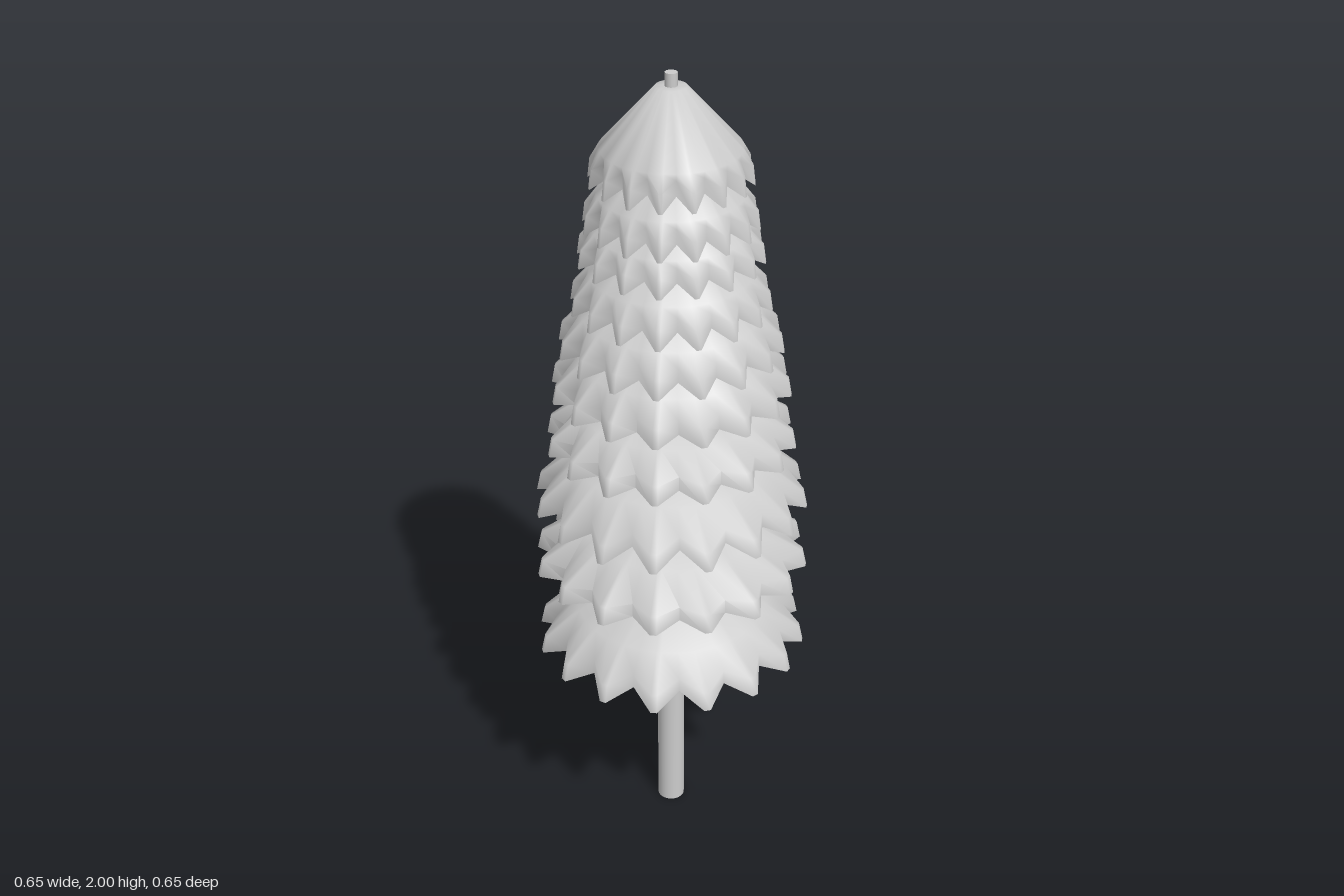
import * as THREE from 'three';
import { toCreasedNormals } from 'three/addons/utils/BufferGeometryUtils.js';

const SPIKES = 16;
const STEP = (Math.PI * 2) / SPIKES;
const BLUNT = 0.024; // half angle of a spike's blunt end

// Three columns per spike: the notch, then the two corners of the blunt tip
const columns = [];
for (let i = 0; i < SPIKES; i++) {
  columns.push({ a: i * STEP, notch: true });
  columns.push({ a: (i + 0.5) * STEP - BLUNT, notch: false });
  columns.push({ a: (i + 0.5) * STEP + BLUNT, notch: false });
}

// One layer of branches: a cone that flares into a zigzag skirt, with a flat lip
// underneath and a hollow inner cone. The notches sit "drop" above the tips.
function tierGeometry({ tipY, drop, radius, shoulderY, shoulderR, apexY, apexR }) {
  // each ring: tip radius and height, notch radius and height
  const ring = (r, y, nr = r, ny = y) => ({ r, y, nr, ny });
  const rings = [
    ring(0.014, apexY),
    ring(apexR, apexY),
    ring(shoulderR, shoulderY),
    ring(radius * 0.97, tipY + 0.045, radius * 0.85, tipY + drop + 0.035),
    ring(radius, tipY, radius * 0.855, tipY + drop),
    ring(radius * 0.76, tipY + drop + 0.008),
    ring(0.014, apexY - 0.02),
  ];
  const n = columns.length;
  const positions = [];
  const index = [];
  rings.forEach((k, j) => {
    columns.forEach(({ a, notch }, i) => {
      const r = notch ? k.nr : k.r;
      positions.push(Math.sin(a) * r, notch ? k.ny : k.y, Math.cos(a) * r);
      if (j === rings.length - 1) return;
      const p = j * n + i;
      const q = j * n + ((i + 1) % n);
      index.push(p, p + n, q + n, p, q + n, q);
    });
  });
  const g = new THREE.BufferGeometry();
  g.setAttribute('position', new THREE.Float32BufferAttribute(positions, 3));
  g.setIndex(index);
  return toCreasedNormals(g, 1.25);
}

export function createModel() {
  const group = new THREE.Group();
  const material = new THREE.MeshStandardMaterial({ color: 0xcccccc });

  const add = (name, geometry, y = 0) => {
    const mesh = new THREE.Mesh(geometry, material);
    mesh.name = name;
    mesh.position.y = y;
    group.add(mesh);
  };

  // Trunk and the small nub on top
  add('trunk', new THREE.CylinderGeometry(0.034, 0.034, 1.94, 24), 0.97);
  add('topNub', new THREE.CylinderGeometry(0.014, 0.014, 0.06, 16), 1.97);

  // Branch layers from bottom to top: tipY, drop, radius, shoulderY, shoulderR, apexY
  const tiers = [
    [0.537, 0.03, 0.331, 0.645, 0.235, 0.775],
    [0.767, 0.01, 0.331, 0.87, 0.215, 0.96],
    [0.937, 0.035, 0.327, 1.055, 0.225, 1.12],
    [1.1, 0.015, 0.295, 1.195, 0.21, 1.265],
    [1.238, 0.015, 0.28, 1.33, 0.215, 1.5],
    [1.35, 0.025, 0.26, 1.44, 0.205, 1.6],
    [1.455, 0.03, 0.23, 1.54, 0.185, 1.7],
    [1.57, 0.025, 0.212, 1.645, 0.175, 1.79],
    [1.65, 0.03, 0.198, 1.73, 0.165, 1.87],
    [1.755, 0.03, 0.184, 1.835, 0.158, 1.97],
  ];
  tiers.forEach(([tipY, drop, radius, shoulderY, shoulderR, apexY], i) => {
    const apexR = i === tiers.length - 1 ? 0.035 : 0.02;
    add(`branchLayer${i + 1}`, tierGeometry({ tipY, drop, radius, shoulderY, shoulderR, apexY, apexR }));
  });

  return group;
}
